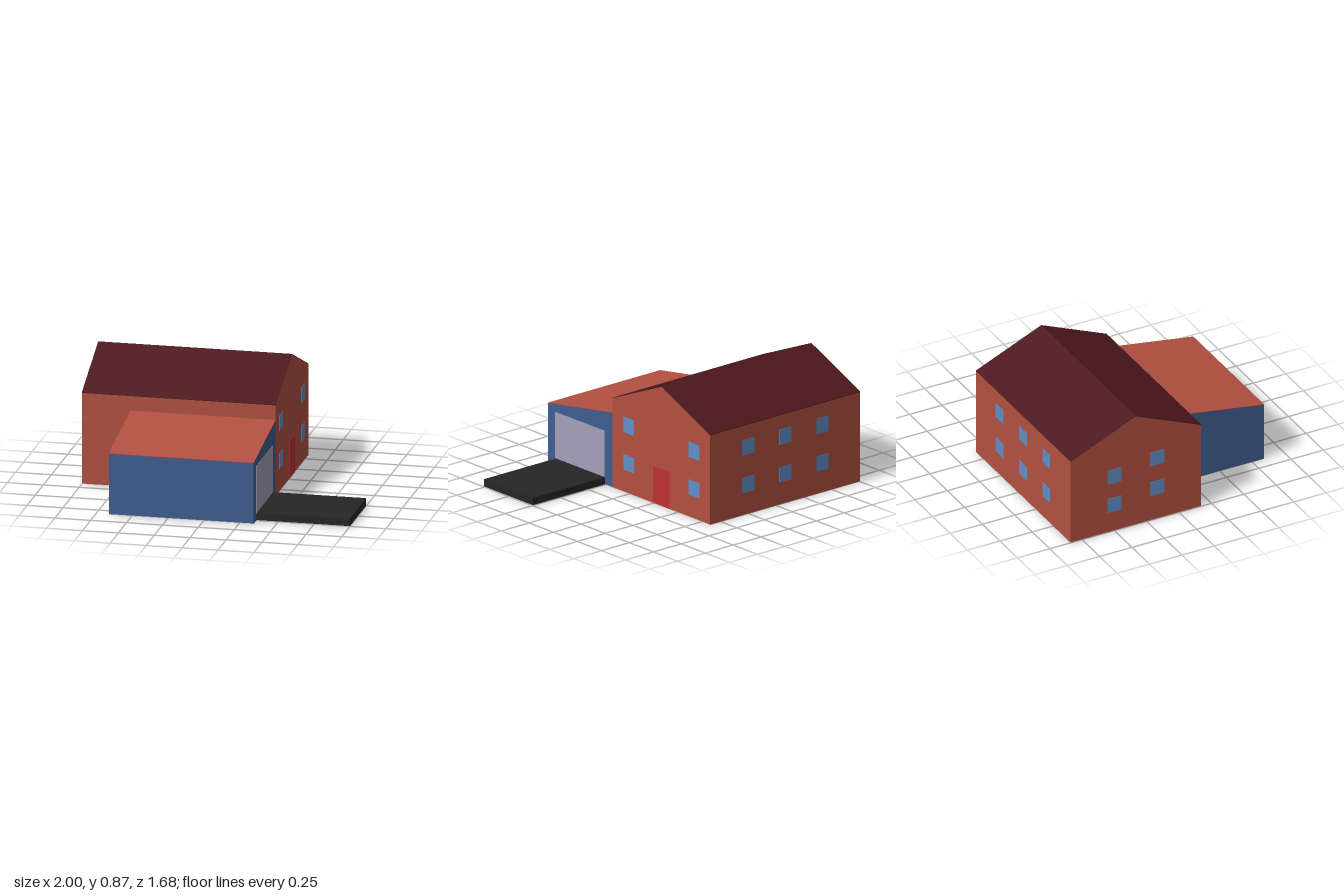
import * as THREE from 'three';

const colors = {
  brick: 0xb35141, roof: 0x4c171d, blue: 0x405d90, glass: 0x6090c8,
  door: 0xc23035, shutter: 0xa5a0b8, tarmac: 0x262626, base: 0xcccccc,
};
const materials = {};
for (const key in colors) {
  materials[key] = new THREE.MeshStandardMaterial({ color: colors[key], flatShading: true });
}

const SKIN = 0.004; // thickness of roof panels, floors and wall fittings
const EAST = 0.35, WEST = -1, BACK = -0.84, MIDDLE = 0.17, FRONT = 0.84, RIDGE = -0.335;

export function createModel() {
  const model = new THREE.Group();
  model.name = 'houseWithGarage';

  const add = (parent, name, geometry, material) => {
    const mesh = new THREE.Mesh(geometry, materials[material]);
    mesh.name = name;
    parent.add(mesh);
    return mesh;
  };

  // Solid with a side profile of [z, y] points (back to front along the base), running from x0 to x1
  const prism = (parent, name, profile, x0, x1, material) => {
    const shape = new THREE.Shape(profile.map(([z, y]) => new THREE.Vector2(-z, y)));
    const geometry = new THREE.ExtrudeGeometry(shape, { depth: x1 - x0, bevelEnabled: false });
    geometry.rotateY(Math.PI / 2).translate(x0, 0, 0);
    return add(parent, name, geometry, material);
  };

  // Sloping roof panel between two [z, y] points
  const panel = (parent, name, a, b, x0, x1, material) =>
    prism(parent, name, [[a[0], a[1] - SKIN], [b[0], b[1] - SKIN], b, a], x0, x1, material);

  const box = (parent, name, [x0, x1], [y0, y1], [z0, z1], material) => {
    const mesh = add(parent, name, new THREE.BoxGeometry(x1 - x0, y1 - y0, z1 - z0), material);
    mesh.position.set((x0 + x1) / 2, (y0 + y1) / 2, (z0 + z1) / 2);
    return mesh;
  };

  // House body with a gabled roof
  const house = new THREE.Group();
  house.name = 'house';
  model.add(house);
  const eaves = 0.65, ridge = 0.865;
  prism(house, 'houseWalls', [
    [BACK, SKIN], [MIDDLE, SKIN], [MIDDLE, eaves - SKIN], [RIDGE, ridge - SKIN], [BACK, eaves - SKIN],
  ], WEST, EAST, 'brick');
  panel(house, 'frontRoofSlope', [RIDGE, ridge], [MIDDLE, eaves], WEST, EAST, 'roof');
  panel(house, 'backRoofSlope', [BACK, eaves], [RIDGE, ridge], WEST, EAST, 'roof');

  // Garage with a lean-to roof
  const garage = new THREE.Group();
  garage.name = 'garage';
  model.add(garage);
  const garageWest = -0.66, low = 0.435, high = 0.543;
  prism(garage, 'garageWalls', [
    [MIDDLE, SKIN], [FRONT, SKIN], [FRONT, low - SKIN], [MIDDLE, high - SKIN],
  ], garageWest, EAST, 'blue');
  panel(garage, 'garageRoof', [MIDDLE, high], [FRONT, low], garageWest, EAST, 'brick');

  // Driveway
  box(model, 'driveway', [EAST, 1], [SKIN, 0.055], [0.25, 0.757], 'tarmac');

  // Undersides
  box(model, 'houseFloor', [WEST, EAST], [0, SKIN], [BACK, MIDDLE], 'base');
  box(model, 'garageFloor', [garageWest, EAST], [0, SKIN], [MIDDLE, FRONT], 'base');
  box(model, 'drivewayBase', [EAST, 1], [0, SKIN], [0.25, 0.757], 'base');

  // Doors on the gable side
  const eastSkin = [EAST - SKIN, EAST + SKIN / 2];
  box(house, 'frontDoor', eastSkin, [SKIN, 0.27], [-0.42, -0.25], 'door');
  box(garage, 'garageDoor', eastSkin, [0.05, 0.388], [0.255, 0.765], 'shutter');

  // Windows, given by their centres
  const half = 0.055;
  const span = (c) => [c - half, c + half];
  const floors = [0.217, 0.488];
  for (const y of floors) {
    for (const z of [0.002, -0.675]) {
      box(house, 'doorSideWindow', eastSkin, span(y), span(z), 'glass');
    }
    for (const x of [0.01, -0.325, -0.66]) {
      box(house, 'backWindow', span(x), span(y), [BACK - SKIN / 2, BACK + SKIN], 'glass');
    }
  }
  for (const [z, y] of [[-0.5, 0.21], [-0.5, 0.435], [-0.17, 0.25], [-0.17, 0.485]]) {
    box(house, 'farGableWindow', [WEST - SKIN / 2, WEST + SKIN], span(y), span(z), 'glass');
  }

  return model;
}
